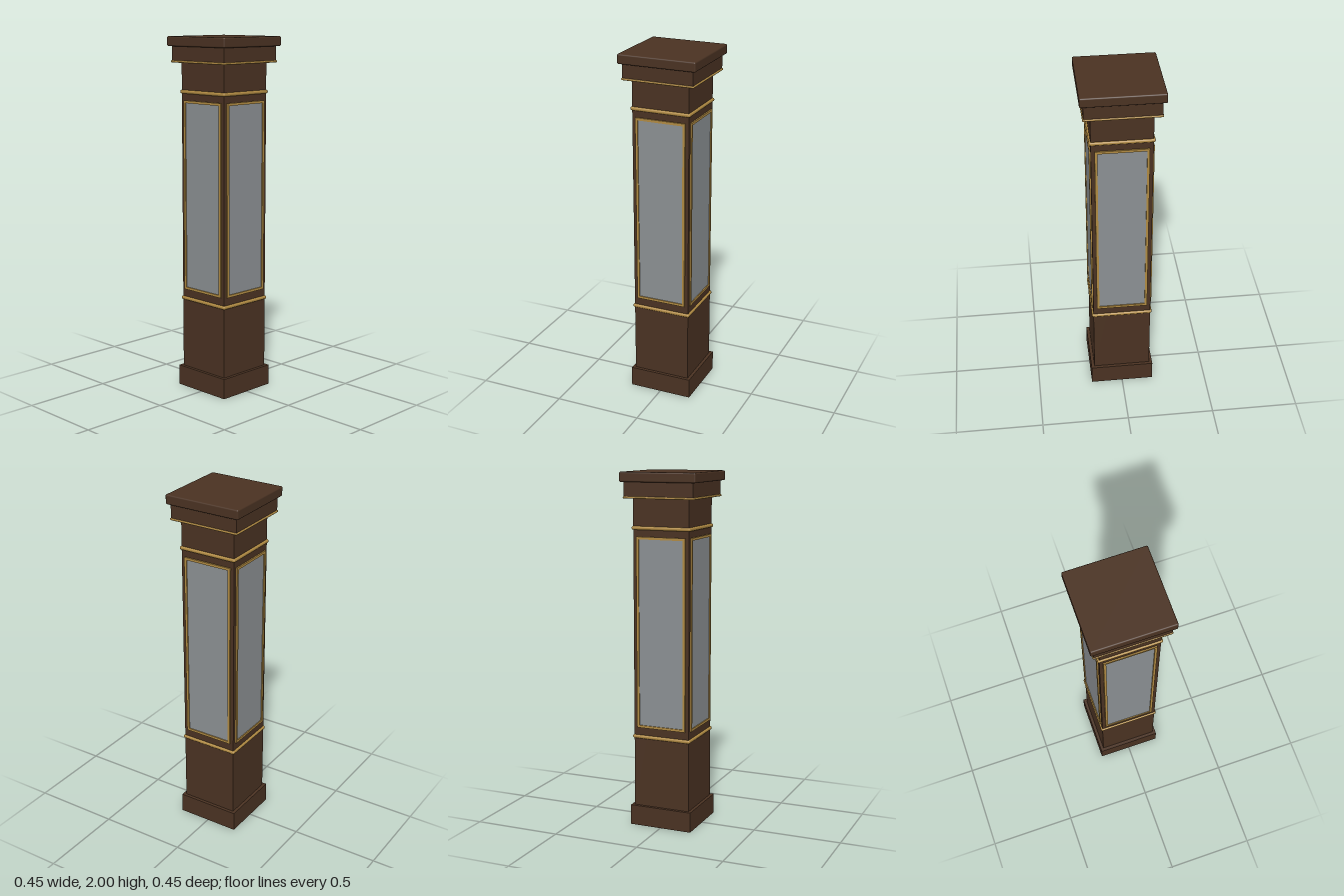
import * as THREE from 'three';
import { RoundedBoxGeometry } from 'three/addons/geometries/RoundedBoxGeometry.js';

export function createModel() {
  const model = new THREE.Group();
  model.name = 'column';

  const material = (name, color) => {
    const m = new THREE.MeshStandardMaterial({ color });
    m.name = name;
    return m;
  };
  const wood = material('dark wood', 0x4a3222);
  const gold = material('gold trim', 0xb08a42);
  const glass = material('grey panel', 0x8b9093);

  const add = (parent, name, geometry, mat, x = 0, y = 0, z = 0) => {
    const mesh = new THREE.Mesh(geometry, mat);
    mesh.name = name;
    mesh.position.set(x, y, z);
    parent.add(mesh);
    return mesh;
  };

  // Square block between two heights; a radius rounds its edges
  const block = (name, half, bottom, top, mat, radius = 0) => {
    const w = half * 2, h = top - bottom;
    const geometry = radius
      ? new RoundedBoxGeometry(w, h, w, 3, radius)
      : new THREE.BoxGeometry(w, h, w);
    add(model, name, geometry, mat, 0, (bottom + top) / 2, 0);
  };

  // Wooden body
  block('base', 0.183, 0, 0.115, wood);
  block('shaft', 0.165, 0.115, 1.865, wood);
  block('capital', 0.203, 1.866, 1.946, wood);
  block('topSlab', 0.223, 1.946, 2, wood, 0.008);

  // Gold mouldings
  block('lowerMoulding', 0.174, 0.511, 0.531, gold, 0.009);
  block('upperMoulding', 0.174, 1.687, 1.707, gold, 0.009);
  block('capitalMoulding', 0.208, 1.857, 1.869, gold, 0.005);

  // Framed panel on each face
  const w = 0.145, bottom = 0.575, top = 1.65, border = 0.014;
  const outline = new THREE.Shape([
    new THREE.Vector2(-w, bottom), new THREE.Vector2(w, bottom),
    new THREE.Vector2(w, top), new THREE.Vector2(-w, top),
  ]);
  outline.holes.push(new THREE.Path([
    new THREE.Vector2(-w + border, bottom + border), new THREE.Vector2(-w + border, top - border),
    new THREE.Vector2(w - border, top - border), new THREE.Vector2(w - border, bottom + border),
  ]));
  const frameGeometry = new THREE.ExtrudeGeometry(outline, { depth: 0.009, bevelEnabled: false });
  const paneGeometry = new THREE.BoxGeometry(2 * (w - border), top - bottom - 2 * border, 0.004);

  for (let i = 0; i < 4; i++) {
    const panel = new THREE.Group();
    panel.name = ['front', 'left', 'back', 'right'][i] + 'Panel';
    panel.rotation.y = i * Math.PI / 2;
    add(panel, 'frame', frameGeometry, gold, 0, 0, 0.164);
    add(panel, 'pane', paneGeometry, glass, 0, (bottom + top) / 2, 0.165);
    model.add(panel);
  }

  return model;
}
